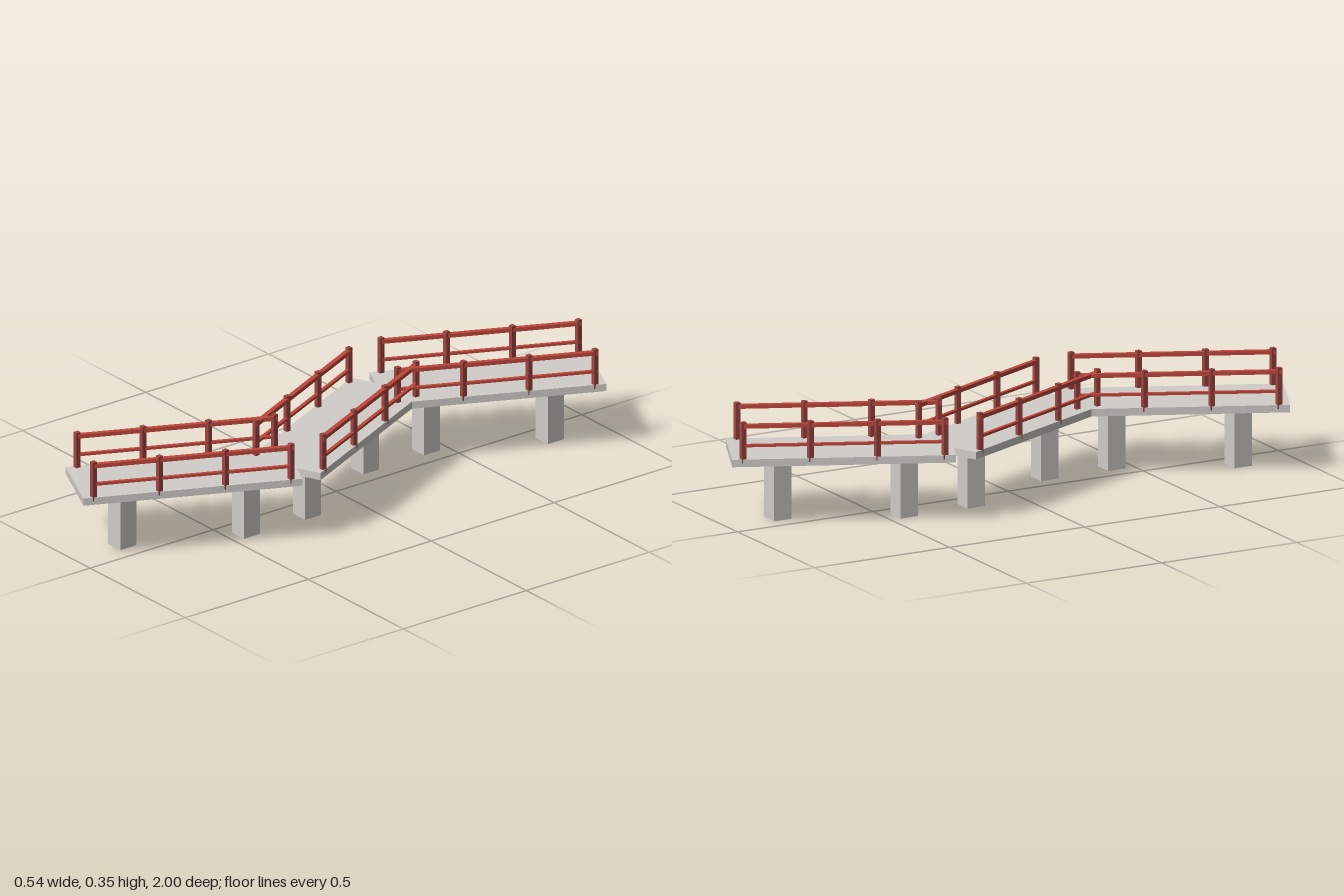
import * as THREE from 'three';

const ANGLE = THREE.MathUtils.degToRad(25);
const LENGTH = 0.7225, WIDTH = 0.26;   // one deck section
const DECK_BOTTOM = 0.207, DECK_TOP = 0.232;
const RAIL_X = 0.121;                  // railing offset from the section's centre line

export function createModel() {
  const paint = (name, color) => {
    const material = new THREE.MeshStandardMaterial({ color });
    material.name = name;
    return material;
  };
  const concrete = paint('concrete', 0xd1cdc8);
  const postRed = paint('dark red posts', 0x9e4642);
  const railRed = paint('bright red rails', 0xc0473c);

  const box = (name, material, parent, w, h, d, x, y, z) => {
    const mesh = new THREE.Mesh(new THREE.BoxGeometry(w, h, d), material);
    mesh.name = name;
    mesh.position.set(x, y, z);
    parent.add(mesh);
    return mesh;
  };

  // One straight section: deck, two piers and a railing on each side
  const section = (name, z, angle) => {
    const group = new THREE.Group();
    group.name = name;
    group.position.z = z;
    group.rotation.y = angle;

    box('deck', concrete, group, WIDTH, DECK_TOP - DECK_BOTTOM, LENGTH,
      0, (DECK_TOP + DECK_BOTTOM) / 2, 0);

    // Piers and posts stay square to the world axes
    for (const s of [-1, 1]) {
      box('pier', concrete, group, 0.065, DECK_BOTTOM, 0.065, 0, DECK_BOTTOM / 2, s * 0.204)
        .rotation.y = -angle;
    }
    for (const s of [-1, 1]) {
      const railing = new THREE.Group();
      railing.name = s > 0 ? 'leftRailing' : 'rightRailing';
      group.add(railing);
      for (let i = 0; i < 4; i++) {
        box('post', postRed, railing, 0.016, 0.136, 0.016, s * RAIL_X, 0.287, (i - 1.5) * 0.217)
          .rotation.y = -angle;
      }
      box('topRail', railRed, railing, 0.016, 0.013, 0.668, s * RAIL_X, 0.341, 0);
      box('lowerRail', railRed, railing, 0.012, 0.0085, 0.668, s * RAIL_X, 0.276, 0);
    }
    return group;
  };

  const bridge = new THREE.Group();
  bridge.name = 'zigzagBridge';
  bridge.add(
    section('backSection', -0.6177, -ANGLE),
    section('middleSection', 0, ANGLE),
    section('frontSection', 0.6177, -ANGLE),
  );
  return bridge;
}
